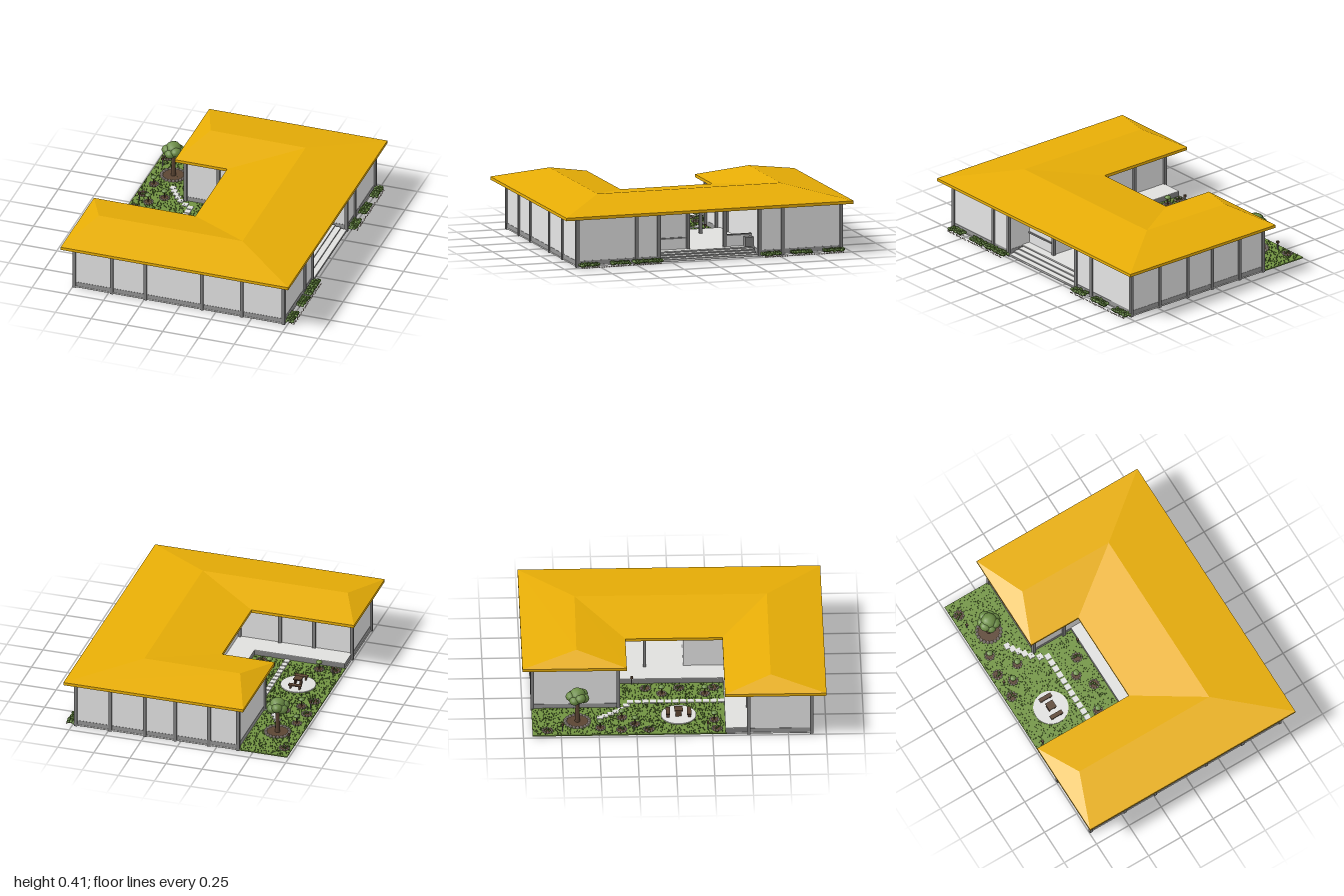
import * as THREE from 'three';
import { mergeGeometries } from 'three/addons/utils/BufferGeometryUtils.js';

const paint = (name, color) => Object.assign(new THREE.MeshStandardMaterial({ color }), { name });

export function createModel() {
  const house = new THREE.Group();
  house.name = 'courtyardHouse';
  const mat = {
    roof: paint('golden roof', 0xe8ae06),
    wall: paint('pale wall', 0xe5e5e5),
    post: paint('grey post', 0x828282),
    base: paint('grey base', 0x969696),
    paving: paint('light paving', 0xe0e0de),
    grass: paint('lawn green', 0x719341),
    tuft: paint('dark grass', 0x42601f),
    leaf: paint('leaf green', 0x6c8e46),
    wood: paint('brown wood', 0x5c4634),
    stone: paint('edging stone', 0xcbbdb4),
  };
  let seed = 7;
  const rnd = () => (seed = (seed * 16807) % 2147483647) / 2147483647;

  const add = (name, geo, material) => {
    const m = new THREE.Mesh(geo, material);
    m.name = name;
    house.add(m);
  };
  const boxGeo = (x0, x1, y0, y1, z0, z1) =>
    new THREE.BoxGeometry(x1 - x0, y1 - y0, z1 - z0).translate((x0 + x1) / 2, (y0 + y1) / 2, (z0 + z1) / 2);
  const box = (name, material, ...b) => add(name, boxGeo(...b), material);
  // Upright prism over an outline of [x, z] points
  const prism = (name, material, pts, y0, y1) => {
    const shape = new THREE.Shape(pts.map(([x, z]) => new THREE.Vector2(x, -z)));
    const geo = new THREE.ExtrudeGeometry(shape, { depth: y1 - y0, bevelEnabled: false });
    add(name, geo.rotateX(-Math.PI / 2).translate(0, y0, 0), material);
  };

  // Roof: fascia slab plus hipped slopes over a U-shaped outline
  const eave = [[-0.8, 1], [0.79, 1], [0.79, -1], [-0.455, -1], [-0.455, -0.31], [-0.09, -0.31], [-0.09, 0.33], [-0.8, 0.33]];
  const ridge = [[-0.32, -0.64], [0.345, -0.635], [0.345, 0.635], [-0.66, 0.635]];
  prism('roofFascia', mat.roof, eave, 0.33, 0.35);
  const pts = [...eave.map(([x, z]) => [x, 0.3505, z]), ...ridge.map(([x, z]) => [x, 0.415, z])];
  const slopes = [[0, 1, 10, 11], [1, 2, 9, 10], [2, 3, 8, 9], [3, 4, 8], [4, 5, 9, 8], [5, 6, 10, 9], [6, 7, 11, 10], [7, 0, 11]];
  const pos = [];
  for (const f of slopes)
    for (let i = 1; i < f.length - 1; i++) pos.push(...pts[f[0]], ...pts[f[i]], ...pts[f[i + 1]]);
  const slopeGeo = new THREE.BufferGeometry();
  slopeGeo.setAttribute('position', new THREE.Float32BufferAttribute(pos, 3));
  slopeGeo.computeVertexNormals();
  add('roofSlopes', slopeGeo, mat.roof);

  // Ground slab, lawn and the footings just below them
  prism('groundSlab', mat.paving, [[-0.74, 0.91], [0.73, 0.91], [0.73, -0.94], [-0.4, -0.94], [-0.4, -0.515],
    [-0.02, -0.515], [-0.02, 0.345], [-0.74, 0.345]], 0.006, 0.014);
  prism('lawn', mat.grass, [[-0.74, 0.345], [-0.02, 0.345], [-0.02, -0.515], [-0.4, -0.515], [-0.4, -0.94], [-0.74, -0.94]], 0.006, 0.014);
  box('wallFooting', mat.paving, -0.4, -0.14, 0.002, 0.012, -0.385, -0.36);
  box('wallFooting', mat.paving, -0.41, -0.385, 0.002, 0.012, -0.515, -0.36);
  for (const z of [0.39, -0.46]) box('stepFooting', mat.paving, 0.63, 0.73, 0, 0.008, z - 0.05, z + 0.05);

  // Rooms as [x0, x1, z0, z1], each on a darker plinth
  const rooms = { frontWing: [-0.735, 0.725, 0.49, 0.905], frontRoom: [0.05, 0.725, 0.335, 0.49],
    middleRoom: [0.05, 0.55, 0.075, 0.335], backWing: [-0.4, 0.725, -0.935, -0.37] };
  for (const [name, [x0, x1, z0, z1]] of Object.entries(rooms)) {
    box(name + 'Walls', mat.wall, x0, x1, 0.045, 0.33, z0, z1);
    box(name + 'Plinth', mat.base, x0 - 0.002, x1 + 0.002, 0.01, 0.045, z0 - 0.002, z1 + 0.002);
  }

  // Posts along the walls
  const posts = [];
  const post = (x, z) => posts.push(boxGeo(x - 0.011, x + 0.011, 0.003, 0.33, z - 0.011, z + 0.011));
  for (const x of [-0.737, -0.475, -0.24, 0.155, 0.435, 0.725]) post(x, 0.903);
  for (const x of [-0.737, -0.475, -0.24, 0.04]) post(x, 0.488);
  for (const x of [0.725, 0.485, 0.245, 0.035, -0.2, -0.4]) post(x, -0.933);
  for (const x of [-0.4, -0.17, 0.05]) post(x, -0.365);
  for (const z of [0.49, 0.335, -0.365, -0.525]) post(0.725, z);
  for (const z of [0.075, -0.18]) post(0.555, z);
  post(0.05, -0.18);
  add('posts', mergeGeometries(posts), mat.post);

  // Veranda and open passage: grey body with pale decking
  const deck = [[-0.735, 0.49], [0.05, 0.49], [0.05, 0.335], [0.61, 0.335], [0.61, -0.37], [-0.11, -0.37],
    [-0.11, 0.335], [-0.735, 0.335]];
  prism('verandaBody', mat.post, deck, 0.014, 0.046);
  prism('verandaDeck', mat.paving, deck, 0.046, 0.05);
  // Entrance steps: grey risers with pale treads
  for (let i = 0; i < 3; i++) {
    const x1 = 0.65 + i * 0.04, y = 0.04 - i * 0.01;
    box('stepRiser', mat.post, 0.61, x1, 0.004, y - 0.002, -0.355, 0.325);
    box('stepTread', mat.paving, x1 - 0.04, x1, y - 0.002, y, -0.355, 0.325);
  }
  box('lowWall', mat.wall, 0.545, 0.56, 0.05, 0.12, -0.365, -0.18);
  box('lowWallCap', mat.post, 0.543, 0.562, 0.12, 0.13, -0.365, -0.18);
  box('windowRail', mat.post, 0.55, 0.558, 0.12, 0.13, 0.075, 0.335);
  box('entranceChest', mat.post, 0.57, 0.62, 0.05, 0.115, -0.36, -0.305);

  // Paved circle with table and two benches
  add('patio', new THREE.CylinderGeometry(0.117, 0.117, 0.006, 40).translate(-0.51, 0.017, 0.03), mat.paving);
  const bench = (name, z, w, d, h) => {
    box(name, mat.wood, -0.51 - w, -0.51 + w, h - 0.008, h, z - d, z + d);
    for (const s of [-1, 1]) {
      const x = -0.51 + s * w * 0.7;
      box(name + 'Leg', mat.wood, x - 0.005, x + 0.005, 0.018, h - 0.008, z - d * 0.7, z + d * 0.7);
    }
  };
  bench('table', 0.03, 0.028, 0.028, 0.066);
  bench('bench', -0.04, 0.045, 0.014, 0.05);
  bench('bench', 0.1, 0.045, 0.014, 0.05);

  // Stepping stones
  const stones = [[-0.53, -0.49], [-0.51, -0.455], [-0.485, -0.42], [-0.46, -0.385], [-0.43, -0.35], [-0.385, -0.312]];
  for (let i = 0; i < 13; i++) stones.push([-0.34, -0.285 + i * 0.05]);
  add('steppingStones', mergeGeometries(stones.map(([x, z]) =>
    boxGeo(x - 0.019, x + 0.019, 0.014, 0.019, z - 0.02, z + 0.02))), mat.paving);

  // Planted beds edged with stones
  const edging = [], crowns = [], beds = [], darkLeaves = [];
  const ball = (x, y, z, r, sy = 0.75) => new THREE.IcosahedronGeometry(r, 1).scale(1, sy, 1).translate(x, y, z);
  const bed = (x, z, r, n) => {
    beds.push(new THREE.CylinderGeometry(r, r, 0.008, 16).translate(x, 0.018, z));
    for (let i = 0; i < n; i++) {
      const a = (i / n) * Math.PI * 2;
      edging.push(new THREE.IcosahedronGeometry(r * 0.1 + 0.004, 0).translate(x + r * Math.cos(a), 0.022, z + r * Math.sin(a)));
    }
  };
  for (const [x, z] of [[-0.69, -0.84], [-0.69, -0.35], [-0.69, -0.17], [-0.69, 0.28], [-0.18, -0.18], [-0.18, 0.04], [-0.18, 0.27]]) {
    bed(x, z, 0.031, 10);
    for (let i = 0; i < 4; i++)
      darkLeaves.push(ball(x + (rnd() - 0.5) * 0.045, 0.026, z + (rnd() - 0.5) * 0.045, 0.008));
  }
  for (const [x, z] of [[-0.665, -0.49], [-0.54, -0.345], [-0.625, -0.26], [-0.25, -0.075], [-0.255, 0.21], [-0.58, 0.265]]) {
    bed(x, z, 0.029, 10);
    beds.push(new THREE.CylinderGeometry(0.004, 0.005, 0.05, 6).translate(x, 0.042, z));
    crowns.push(ball(x, 0.073, z, 0.022, 0.6));
  }

  // Large garden tree
  bed(-0.58, -0.64, 0.08, 20);
  beds.push(new THREE.CylinderGeometry(0.012, 0.018, 0.17, 8).translate(-0.58, 0.1, -0.64));
  crowns.push(ball(-0.58, 0.225, -0.64, 0.055, 0.9));
  for (let i = 0; i < 7; i++) {
    const a = i * 0.9;
    crowns.push(ball(-0.58 + 0.042 * Math.cos(a), 0.205 + (i % 2) * 0.015, -0.64 + 0.042 * Math.sin(a), 0.038, 0.85));
  }

  // Hedge clumps along the entrance side, with pale stones at their feet
  for (const [z0, z1] of [[0.77, 0.895], [0.555, 0.68], [0.33, 0.52], [-0.495, -0.37], [-0.71, -0.575], [-0.935, -0.8]])
    for (let z = z0; z < z1; z += 0.009)
      for (const x of [0.742, 0.76, 0.778]) {
        const leafy = rnd() < 0.35 ? crowns : darkLeaves;
        leafy.push(ball(x + (rnd() - 0.5) * 0.01, 0.02 + rnd() * 0.009, z, 0.011, 0.9));
        if (rnd() < 0.5) edging.push(new THREE.IcosahedronGeometry(0.004, 0).translate(x + 0.014, 0.009, z));
      }
  for (let z = -0.93; z < 0.9; z += 0.017)
    if (z < -0.37 || z > 0.335) edging.push(new THREE.IcosahedronGeometry(0.005, 0).translate(0.785 + rnd() * 0.01, 0.008, z));
  add('plantBeds', mergeGeometries(beds), mat.wood);
  add('edgingStones', mergeGeometries(edging), mat.stone);
  add('leafCrowns', mergeGeometries(crowns), mat.leaf);
  add('darkShrubs', mergeGeometries(darkLeaves), mat.tuft);

  // Grass tufts scattered over the lawn
  const tufts = [];
  while (tufts.length < 1500) {
    const x = -0.735 + rnd() * 0.62, z = -0.935 + rnd() * 1.26;
    const covered = (x > -0.41 && z < -0.36) || Math.hypot(x + 0.51, z - 0.03) < 0.12 || Math.abs(x + 0.34) < 0.022;
    if (!covered) tufts.push(new THREE.ConeGeometry(0.0036, 0.009, 3, 1, true).rotateY(rnd() * 6).translate(x, 0.0185, z));
  }
  add('grassTufts', mergeGeometries(tufts), mat.tuft);

  // Small garden lamps
  for (const [x, z] of [[-0.69, -0.74], [-0.69, -0.27], [-0.69, 0.22], [-0.12, -0.27]]) {
    box('lampPole', mat.post, x - 0.003, x + 0.003, 0.014, 0.06, z - 0.003, z + 0.003);
    box('lampHead', mat.wood, x - 0.008, x + 0.008, 0.06, 0.075, z - 0.008, z + 0.008);
  }
  return house;
}
